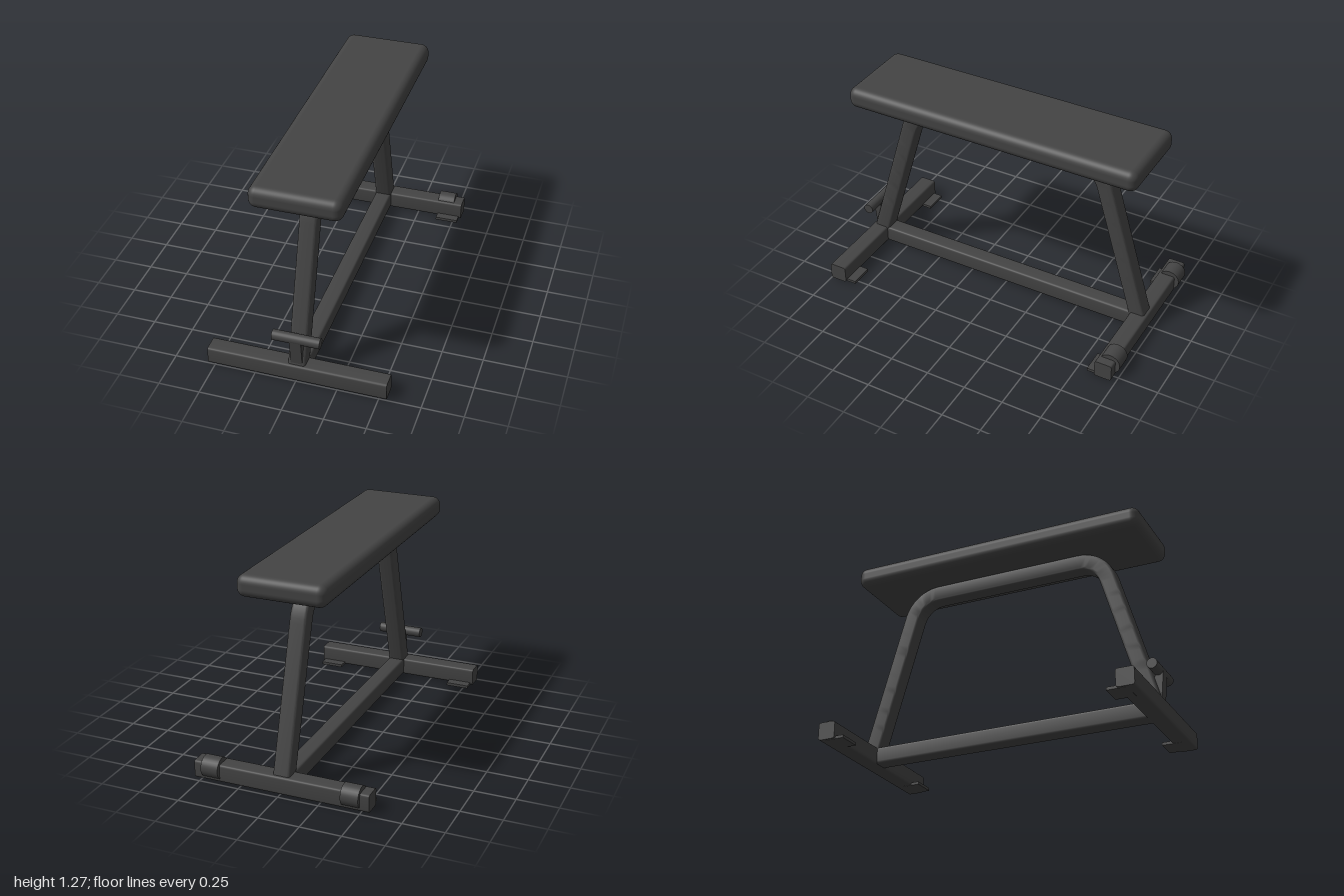
import * as THREE from 'three';
import { toCreasedNormals } from 'three/addons/utils/BufferGeometryUtils.js';
import { RoundedBoxGeometry } from 'three/addons/geometries/RoundedBoxGeometry.js';

// Rounded rectangle centred on the origin
function roundedRect(w, h, r) {
  const s = new THREE.Shape();
  const x = w / 2, y = h / 2;
  s.moveTo(-x + r, -y);
  s.lineTo(x - r, -y);
  s.quadraticCurveTo(x, -y, x, -y + r);
  s.lineTo(x, y - r);
  s.quadraticCurveTo(x, y, x - r, y);
  s.lineTo(-x + r, y);
  s.quadraticCurveTo(-x, y, -x, y - r);
  s.lineTo(-x, -y + r);
  s.quadraticCurveTo(-x, -y, -x + r, -y);
  return s;
}

const crease = (geometry) => toCreasedNormals(geometry, 0.6);

// Straight square tube along z, centred on the origin
function squareTube(w, h, length) {
  const g = new THREE.ExtrudeGeometry(roundedRect(w, h, 0.016), {
    depth: length, bevelEnabled: false, curveSegments: 4,
  });
  return crease(g.translate(0, 0, -length / 2));
}

export function createModel() {
  const bench = new THREE.Group();
  bench.name = 'bench';
  const charcoal = new THREE.MeshStandardMaterial({ color: 0x444444 });
  charcoal.name = 'charcoal';

  function add(name, geometry, x, y, z) {
    const mesh = new THREE.Mesh(geometry, charcoal);
    mesh.name = name;
    mesh.position.set(x, y, z);
    bench.add(mesh);
    return mesh;
  }

  // Padded seat
  add('seatPad', new RoundedBoxGeometry(0.54, 0.132, 1.895, 5, 0.05), 0, 1.206, 0.0175);

  // Bent frame: leg, bend, top rail, bend, leg
  const mid = 0.0155, top = 1.093, radius = 0.19, lean = 0.2893;
  const bendZ = 0.482;
  const arc = [];
  for (let i = 0; i <= 10; i++) {
    const a = lean + (Math.PI / 2 - lean) * (i / 10);
    arc.push([bendZ + radius * Math.cos(a), top - radius + radius * Math.sin(a)]);
  }
  const half = [[0.932, 0.05], ...arc];
  const outline = [...half, ...half.slice().reverse().map(([z, y]) => [-z, y])];
  const points = outline.map(([z, y]) => new THREE.Vector3(0, y, z + mid));
  const path = new THREE.CurvePath();
  for (let i = 1; i < points.length; i++) {
    path.add(new THREE.LineCurve3(points[i - 1], points[i]));
  }
  const frame = new THREE.ExtrudeGeometry(roundedRect(0.105, 0.102, 0.018), {
    steps: 120, extrudePath: path, bevelEnabled: false, curveSegments: 4,
  });
  add('bentFrame', crease(frame), 0, 0, 0);

  // Floor rail and cross feet
  add('floorRail', squareTube(0.105, 0.105, 1.8), 0, 0.0575, 0.0155);
  const foot = squareTube(0.109, 0.109, 1.09).rotateY(Math.PI / 2);
  add('frontFoot', foot, 0, 0.0555, 0.945);
  add('rearFoot', foot, 0, 0.0555, -0.9165);

  // Floor plates and transport wheels, mirrored left and right
  const plate = new THREE.BoxGeometry(0.145, 0.018, 0.12);
  const wheel = new THREE.CylinderGeometry(0.065, 0.065, 0.108, 32).rotateZ(Math.PI / 2);
  for (const side of [-1, 1]) {
    add('frontFloorPlate', plate, side * 0.4575, 0.009, 0.89);
    add('rearFloorPlate', plate, side * 0.4575, 0.009, -0.87);
    add('wheel', wheel, side * 0.436, 0.076, -0.935);
  }

  // Lifting handle: wedge bracket on the front leg with a cross bar
  const wedge = new THREE.Shape();
  wedge.moveTo(-0.978, 0.1);
  wedge.lineTo(-0.997, 0.29);
  wedge.lineTo(-0.965, 0.29);
  wedge.lineTo(-0.91, 0.2);
  wedge.lineTo(-0.92, 0.1);
  const bracket = new THREE.ExtrudeGeometry(wedge, { depth: 0.07, bevelEnabled: false });
  bracket.translate(0, 0, -0.035).rotateY(Math.PI / 2);
  add('handleBracket', bracket, 0, 0, 0);
  const bar = new THREE.CylinderGeometry(0.032, 0.032, 0.288, 24).rotateZ(Math.PI / 2);
  add('handleBar', bar, 0, 0.293, 0.966);

  return bench;
}
